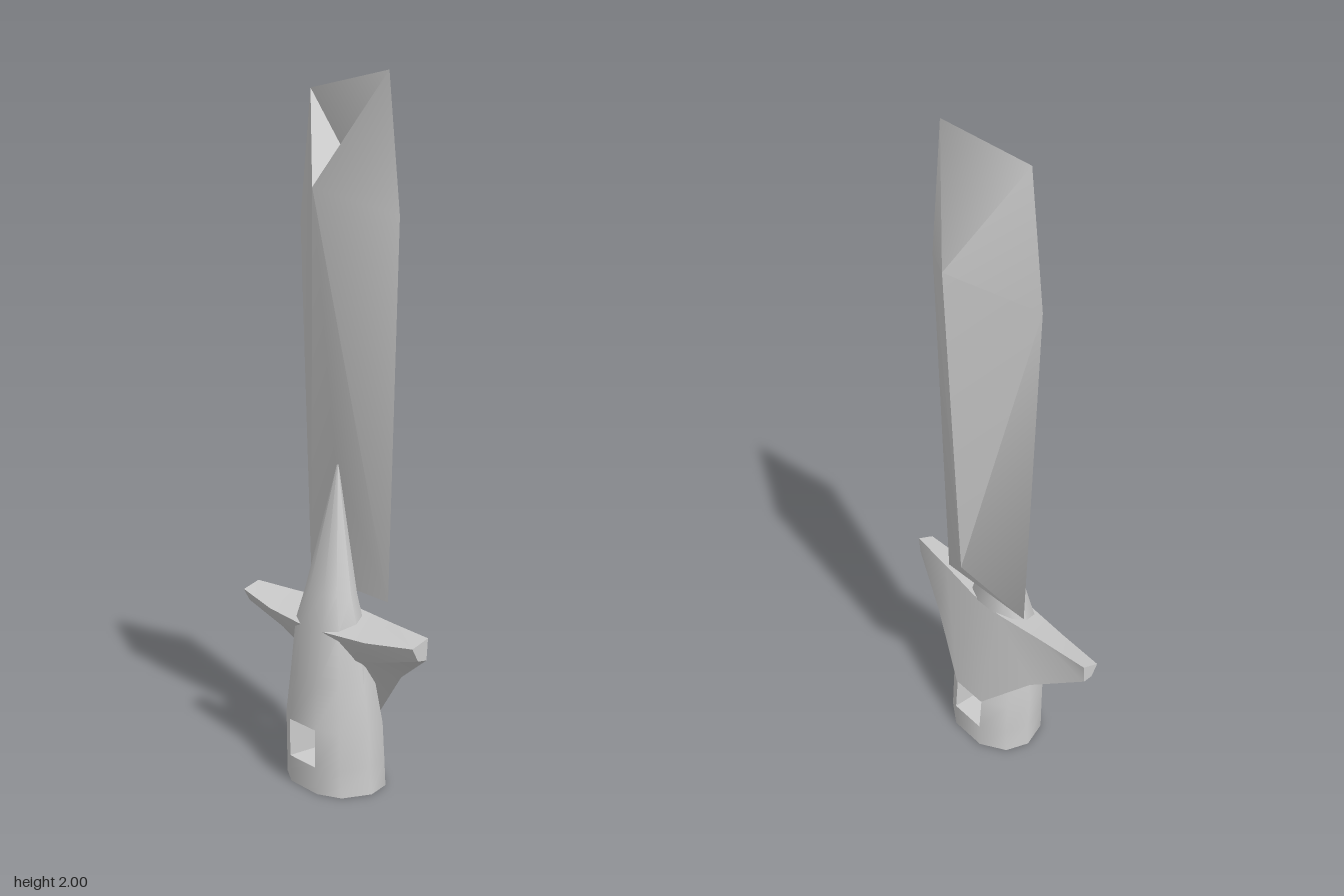
import * as THREE from 'three';
import { toCreasedNormals } from 'three/addons/utils/BufferGeometryUtils.js';

// Build a mesh from polygons (arrays of [x, y, z] corners), keeping sharp edges
function polyMesh(name, polys, material, crease = 0.75) {
  const pos = [];
  for (const p of polys) {
    for (let i = 1; i < p.length - 1; i++) pos.push(...p[0], ...p[i], ...p[i + 1]);
  }
  const geo = new THREE.BufferGeometry();
  geo.setAttribute('position', new THREE.Float32BufferAttribute(pos, 3));
  const mesh = new THREE.Mesh(toCreasedNormals(geo, crease), material);
  mesh.name = name;
  return mesh;
}

// Join rings of equal length with quads and cap both ends
function loft(rings, skip = () => false) {
  const polys = [];
  const n = rings[0].length;
  for (let r = 0; r < rings.length - 1; r++) {
    for (let i = 0; i < n; i++) {
      const j = (i + 1) % n;
      if (!skip(r, i)) polys.push([rings[r][i], rings[r][j], rings[r + 1][j], rings[r + 1][i]]);
    }
  }
  polys.push([...rings[0]].reverse(), rings[rings.length - 1]);
  return polys;
}

export function createModel() {
  const group = new THREE.Group();
  const grey = new THREE.MeshStandardMaterial({ color: 0xcccccc, side: THREE.DoubleSide });
  grey.name = 'lightGrey';

  // Blade: a double wedge with a ridge on each side
  const T1 = [0.005, 2, 0.175], T2 = [0.005, 1.985, -0.165];
  const Z1 = [0.005, 1.62, 0.22], Z2 = [0.005, 1.62, -0.215];
  const B1 = [0.005, 0.56, 0.18], B2 = [0.005, 0.575, -0.17];
  const wedge = (top, low, flip) => {
    const faces = [
      [T1, Z1, top], [Z1, B1, low, top],
      [T2, top, Z2], [Z2, top, low, B2],
      [B1, B2, low],
    ];
    return flip ? faces.map((f) => f.reverse()) : faces;
  };
  const R1 = [0.155, 1.7, -0.01], L1 = [-0.11, 1.7, -0.01], dish = [0.03, 1.76, -0.01];
  const blade = [
    ...wedge(R1, [0.11, 0.73, -0.01], false),
    ...wedge(L1, [-0.03, 0.93, -0.01], true),
    [T1, R1, T2],
    // hollow below the top edge
    [T1, T2, dish], [T2, L1, dish], [L1, T1, dish],
  ];
  group.add(polyMesh('blade', blade, grey));

  // Grip: lofted rings that rise into a spike behind the blade
  const outline = [
    [1, 0.38], [1, -0.38], [0.8, -0.85], [0.5, -1], [0.15, -0.8],
    [0, -0.38], [0, 0.38], [0.15, 0.8], [0.5, 1], [0.8, 0.85],
  ];
  const levels = [ // y, back x, front x, half depth
    [0, -0.155, 0.085, 0.16], [0.08, -0.16, 0.085, 0.155], [0.19, -0.16, 0.076, 0.155],
    [0.32, -0.145, 0.048, 0.14], [0.47, -0.128, 0.012, 0.125],
    [0.57, -0.108, 0, 0.09], [0.93, -0.032, -0.028, 0.003],
  ];
  const rings = levels.map(([y, x0, x1, d]) => outline.map(([u, v]) => [x0 + (x1 - x0) * u, y, d * v]));
  const grip = loft(rings, (r, i) => r === 1 && (i === 0 || i === 5));
  // Slot through the grip
  const [a, b] = [rings[1], rings[2]];
  const p = [a[0], a[1], b[1], b[0]], q = [a[6], a[5], b[5], b[6]];
  for (let i = 0; i < 4; i++) {
    const j = (i + 1) % 4;
    grip.push([p[i], p[j], q[j], q[i]]);
  }
  group.add(polyMesh('grip', grip, grey));

  // Guard: cross-sections from one arm tip to the other
  const sections = [ // z, then back top, back bottom, front bottom, front top
    [0.06, [-0.127, 0.47], [-0.07, 0.38], [0.079, 0.19], [0.006, 0.515]],
    [0.22, [-0.112, 0.475], [-0.065, 0.41], [0.02, 0.35], [-0.016, 0.515]],
    [0.388, [-0.09, 0.495], [-0.07, 0.458], [-0.04, 0.455], [-0.035, 0.515]],
  ];
  const station = (s, side) => s.slice(1).map(([x, y]) => [x, y, s[0] * side]);
  const guard = loft([
    ...[...sections].reverse().map((s) => station(s, -1)),
    ...sections.map((s) => station(s, 1)),
  ]);
  group.add(polyMesh('guard', guard, grey));

  return group;
}
